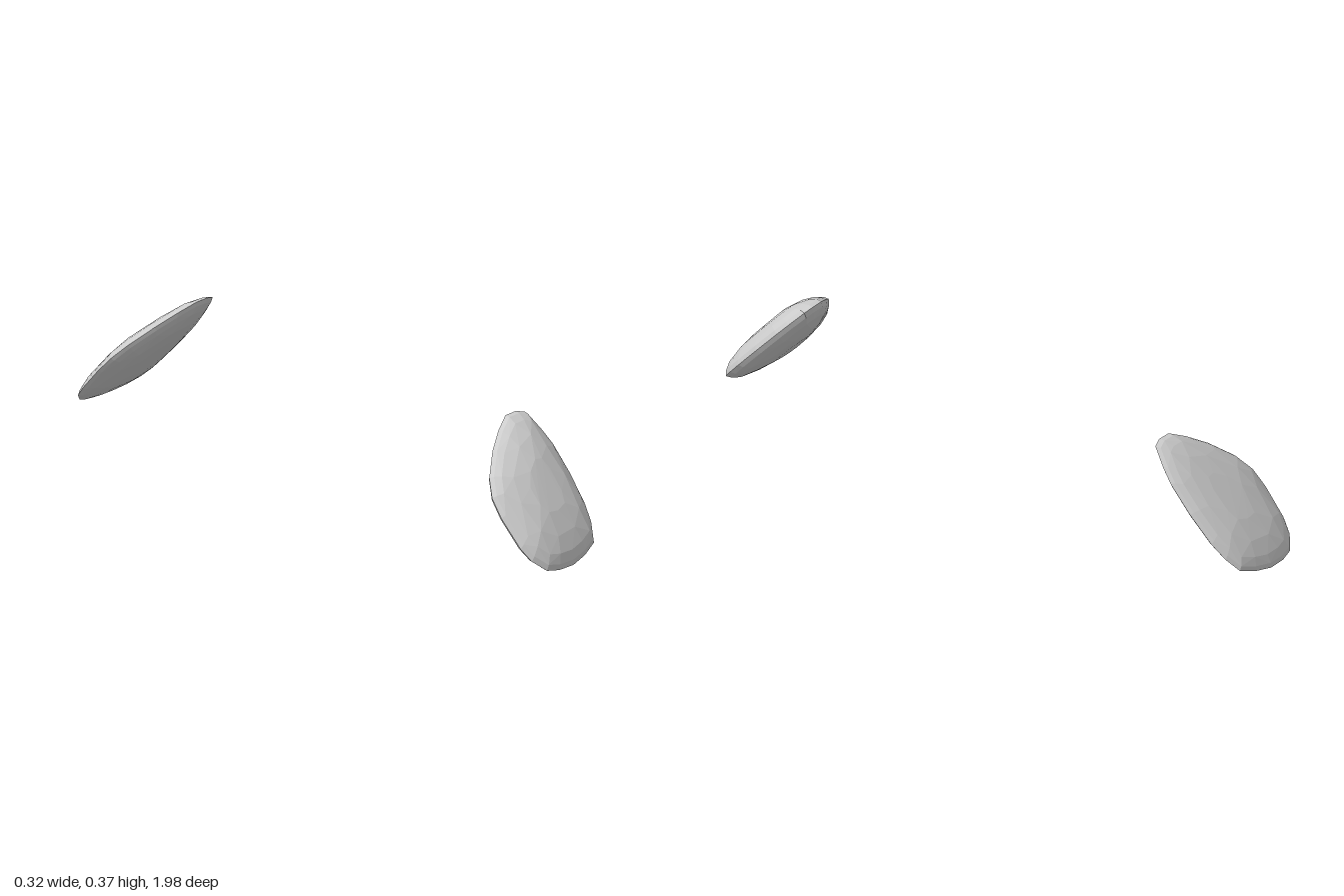
import * as THREE from 'three';
import { ConvexGeometry } from 'three/addons/geometries/ConvexGeometry.js';

// Rim of a shell plate, seen from the front (x, y)
const rim = [
  [-0.162, 0.16], [-0.155, 0.21], [-0.125, 0.255], [-0.06, 0.31], [0, 0.348],
  [0.055, 0.375], [0.1, 0.376], [0.13, 0.367], [0.15, 0.32], [0.161, 0.28],
  [0.163, 0.2], [0.155, 0.12], [0.14, 0.075], [0.115, 0.037], [0.06, 0.018],
  [0, 0.006], [-0.06, 0.006], [-0.105, 0.014], [-0.14, 0.045], [-0.155, 0.08],
];
const centre = [0.01, 0.185];
const normal = new THREE.Vector3(0, 0.68, 0.73);

// A faceted, lens-shaped plate leaning inward; side = 1 front, -1 back
function shellPlate(name, side, outer, inner, material) {
  const points = [];
  const add = (x, y, lift) => {
    const p = new THREE.Vector3(x, y, 0.996 - 0.925 * y).addScaledVector(normal, lift);
    p.z *= side;
    points.push(p);
  };
  rim.forEach(([x, y]) => add(x, y, 0));

  // Domed rings on both faces, staggered for irregular facets
  [0.95, 0.84, 0.64, 0.34].forEach((s, ring) => {
    const dome = Math.pow(1 - s ** 3, 0.7);
    for (let i = ring % 2; i < rim.length; i += ring < 2 ? 1 : 2) {
      const x = centre[0] + (rim[i][0] - centre[0]) * s;
      const y = centre[1] + (rim[i][1] - centre[1]) * s;
      const wobble = 1 + 0.03 * Math.sin(i * 2.7 + ring * 1.9 + side);
      add(x, y, outer * dome * wobble);
      add(x, y, -inner * dome * wobble);
    }
  });

  const mesh = new THREE.Mesh(new ConvexGeometry(points), material);
  mesh.name = name;
  return mesh;
}

export function createModel() {
  const group = new THREE.Group();
  group.name = 'shellPlates';
  const material = new THREE.MeshStandardMaterial({ color: 0xcccccc, flatShading: true });
  group.add(shellPlate('frontPlate', 1, 0.053, 0.055, material));
  group.add(shellPlate('backPlate', -1, 0.04, 0.036, material));
  return group;
}
